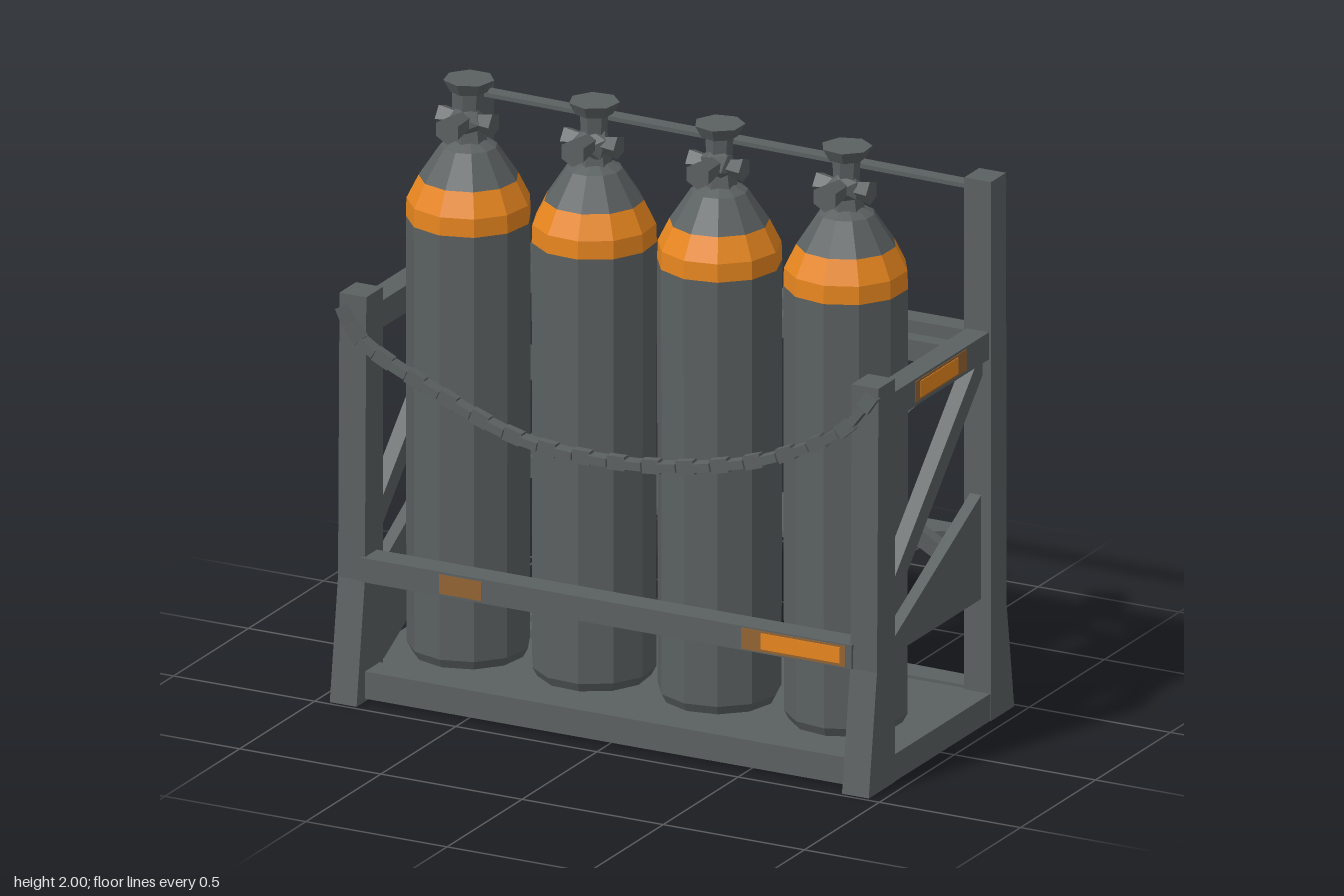
import * as THREE from 'three';

const flat = (name, color) => {
  const m = new THREE.MeshStandardMaterial({ color, flatShading: true, side: THREE.DoubleSide });
  m.name = name;
  return m;
};

export function createModel() {
  const root = new THREE.Group();
  root.name = 'gasCylinderRack';
  const steel = flat('darkGreySteel', 0x5b6060);
  const orange = flat('orangePaint', 0xee8a20);
  const worn = flat('wornOrange', 0x946434);

  const add = (parent, name, geo, mat, x = 0, y = 0, z = 0) => {
    const m = new THREE.Mesh(geo, mat);
    m.name = name;
    m.position.set(x, y, z);
    parent.add(m);
    return m;
  };
  // Box given by its min and max corners
  const slab = (name, a, b, mat = steel) => add(root, name,
    new THREE.BoxGeometry(b[0] - a[0], b[1] - a[1], b[2] - a[2]), mat,
    (a[0] + b[0]) / 2, (a[1] + b[1]) / 2, (a[2] + b[2]) / 2);
  // Bar between two points; w lies along x, d along z
  const strut = (name, a, b, w, d, parent = root) => {
    const p = new THREE.Vector3(...a), q = new THREE.Vector3(...b);
    const dir = q.clone().sub(p), mid = p.clone().add(q).multiplyScalar(0.5);
    const m = add(parent, name, new THREE.BoxGeometry(w, dir.length(), d), steel, mid.x, mid.y, mid.z);
    m.quaternion.setFromUnitVectors(new THREE.Vector3(0, 1, 0), dir.normalize());
    return m;
  };
  const shapeOf = pts => new THREE.Shape(pts.map(p => new THREE.Vector2(...p)));
  // Side profile of (z, y) points extruded across x
  const sidePlate = (name, pts, x, width) => {
    const geo = new THREE.ExtrudeGeometry(shapeOf(pts), { depth: width, bevelEnabled: false });
    geo.translate(0, 0, -width / 2).rotateY(-Math.PI / 2);
    return add(root, name, geo, steel, x);
  };
  // Level sheet of (x, z) points with its top at y
  const levelPlate = (name, shape, y, thick) => {
    const geo = new THREE.ExtrudeGeometry(shape, { depth: thick, bevelEnabled: false });
    return add(root, name, geo.rotateX(Math.PI / 2), steel, 0, y, 0);
  };

  // Base frame and floor with small cut-outs at the back
  slab('frontBaseBeam', [-0.87, 0.01, 0.33], [0.87, 0.1, 0.43]);
  levelPlate('rearBaseBeam', shapeOf([[-0.87, -0.475], [0.87, -0.43], [0.87, -0.34], [-0.87, -0.34]]), 0.1, 0.09);
  const floor = shapeOf([[-0.87, -0.35], [0.87, -0.35], [0.87, 0.34], [-0.87, 0.34]]);
  floor.holes.push(
    shapeOf([[-0.68, -0.3], [-0.68, -0.25], [-0.47, -0.25], [-0.47, -0.3]]),
    shapeOf([[-0.67, -0.18], [-0.62, -0.11], [-0.54, -0.11], [-0.5, -0.18]]));
  levelPlate('floorPlate', floor, 0.09, 0.03);

  // Side frames
  for (const s of [-1, 1]) {
    sidePlate('frontPost', [[0.31, 0], [0.485, 0], [0.43, 0.4], [0.42, 1.34], [0.31, 1.34]], s * 0.907, 0.095);
    sidePlate('rearPost', [[-0.33, 0], [-0.485, 0], [-0.435, 0.35], [-0.43, 1.79], [-0.33, 1.79]], s * 0.907, 0.095);
    slab('sideBaseBeam', [s * 0.907 - 0.045, 0, -0.35], [s * 0.907 + 0.045, 0.09, 0.33]);
    slab('sideTopRail', [s * 0.907 - 0.04, 1.2, -0.34], [s * 0.907 + 0.04, 1.29, 0.32]);
    strut('sideDiagonal', [s * 0.9, 0.54, 0.33], [s * 0.9, 1.2, -0.34], 0.05, 0.065);
    // Painted patches on the side rails
    const face = s * 0.947;
    slab('wornRailPatch', [face - 0.002, 1.212, -0.18], [face + 0.002, 1.282, 0.16], worn);
    slab('orangeRailPatch', [face - 0.0045, 1.22, -0.12], [face + 0.0045, 1.274, 0.13], orange);
    // Rear kinked braces
    strut('rearUpperBrace', [s * 0.86, 1.2, -0.24], [s * 0.44, 0.78, -0.22], 0.055, 0.04);
    strut('rearLowerBrace', [s * 0.86, 0.54, -0.26], [s * 0.44, 0.8, -0.22], 0.055, 0.04);
  }
  // Side gussets; the one on the right drops lower at the front
  sidePlate('leftGusset', [[0.32, 0.4], [0.32, 0.42], [-0.34, 0.75], [-0.34, 0.4]], 0.9, 0.04);
  sidePlate('rightGusset', [[0.32, 0.06], [0.32, 0.38], [-0.34, 0.75], [-0.34, 0.4]], -0.9, 0.04);

  // Rear rails with small paint marks
  strut('rearTopBar', [-0.87, 1.766, -0.39], [0.87, 1.752, -0.38], 0.014, 0.05);
  slab('rearUpperRail', [-0.87, 1.2, -0.42], [0.87, 1.28, -0.34]);
  slab('rearInnerRail', [-0.84, 1.21, -0.235], [0.86, 1.28, -0.18]);
  slab('rearLowerRail', [-0.87, 0.53, -0.42], [0.87, 0.6, -0.34]);
  slab('innerRailMark', [-0.5, 1.25, -0.182], [-0.42, 1.278, -0.177], worn);
  slab('lowerRailMark', [-0.77, 0.55, -0.423], [-0.71, 0.59, -0.418], worn);
  // Shelf sheet behind the cylinders
  levelPlate('shelfSheet', shapeOf([[-0.47, -0.35], [0.8, -0.35], [0.45, -0.1], [-0.3, -0.1]]), 0.6, 0.02);

  // Front rail with paint patches
  slab('frontRail', [-0.87, 0.4, 0.35], [0.87, 0.48, 0.44]);
  slab('wornFrontPatch', [0.48, 0.405, 0.438], [0.85, 0.475, 0.442], worn);
  slab('orangeFrontPatch', [0.55, 0.415, 0.439], [0.83, 0.468, 0.445], orange);
  slab('smallFrontPatch', [-0.59, 0.408, 0.438], [-0.44, 0.472, 0.442], worn);

  // Gas cylinders
  const lathe = pts => new THREE.LatheGeometry(pts.map(p => new THREE.Vector2(...p)), 11);
  const body = lathe([[0, 0.1], [0.18, 0.1], [0.196, 0.13], [0.198, 1.54]]);
  const band = lathe([[0.198, 1.54], [0.196, 1.6], [0.158, 1.677]]);
  const shoulder = lathe([[0.158, 1.677], [0.09, 1.78], [0.05, 1.8], [0, 1.8]]);
  [-0.665, -0.222, 0.222, 0.672].forEach((x, i) => {
    const g = new THREE.Group();
    g.name = 'gasCylinder';
    g.position.set(x, 0, 0.102);
    g.rotation.y = i * 0.23;
    root.add(g);
    add(g, 'cylinderBody', body, steel);
    add(g, 'orangeBand', band, orange);
    add(g, 'cylinderShoulder', shoulder, steel);
    // Valve: neck, body, stem, handwheel and outlet
    const v = new THREE.Group();
    v.name = 'valve';
    v.position.set(x, 0, 0.102);
    root.add(v);
    add(v, 'valveNeck', new THREE.CylinderGeometry(0.045, 0.06, 0.08, 6), steel, 0, 1.82);
    const lump = add(v, 'valveBody', new THREE.IcosahedronGeometry(0.065, 0), steel, 0, 1.865, 0.01);
    lump.rotation.set(i, i * 1.7, 0);
    lump.scale.y = 0.8;
    add(v, 'valveStem', new THREE.CylinderGeometry(0.045, 0.04, 0.1, 6), steel, 0, 1.92);
    add(v, 'handwheel', new THREE.CylinderGeometry(0.082, 0.06, 0.04, 7), steel, 0, 1.98).rotation.y = i;
    const outlet = add(v, 'valveOutlet', new THREE.CylinderGeometry(0.045, 0.03, 0.12, 6), steel, 0, 1.87, 0.085);
    outlet.rotation.x = Math.PI / 2;
    for (const s of [-1, 1]) {
      const nut = add(v, 'valveNut', new THREE.CylinderGeometry(0.04, 0.025, 0.07, 5), steel, s * 0.06, 1.865, 0.01);
      nut.rotation.z = -s * Math.PI / 2;
    }
  });
  // Small paint mark on the back of one cylinder
  const mark = add(root, 'paintMark', new THREE.BoxGeometry(0.05, 0.07, 0.009), worn, 0.125, 1.34, -0.066);
  mark.rotation.y = 0.52;

  // Sagging restraint chain
  const chain = new THREE.Group();
  chain.name = 'chain';
  root.add(chain);
  const curve = new THREE.CatmullRomCurve3([
    [-0.94, 1.3, 0.425], [-0.88, 1.21, 0.435], [-0.6, 1.07, 0.43], [-0.3, 0.965, 0.43], [0, 0.945, 0.43],
    [0.3, 0.975, 0.43], [0.6, 1.06, 0.43], [0.85, 1.2, 0.435], [0.94, 1.32, 0.425],
  ].map(p => new THREE.Vector3(...p)));
  const pts = curve.getSpacedPoints(34);
  for (let i = 0; i < 34; i++) {
    const wide = i % 2 ? 0.046 : 0.028;
    strut('chainLink', pts[i].toArray(), pts[i + 1].toArray(), wide, 0.074 - wide, chain);
  }
  return root;
}
